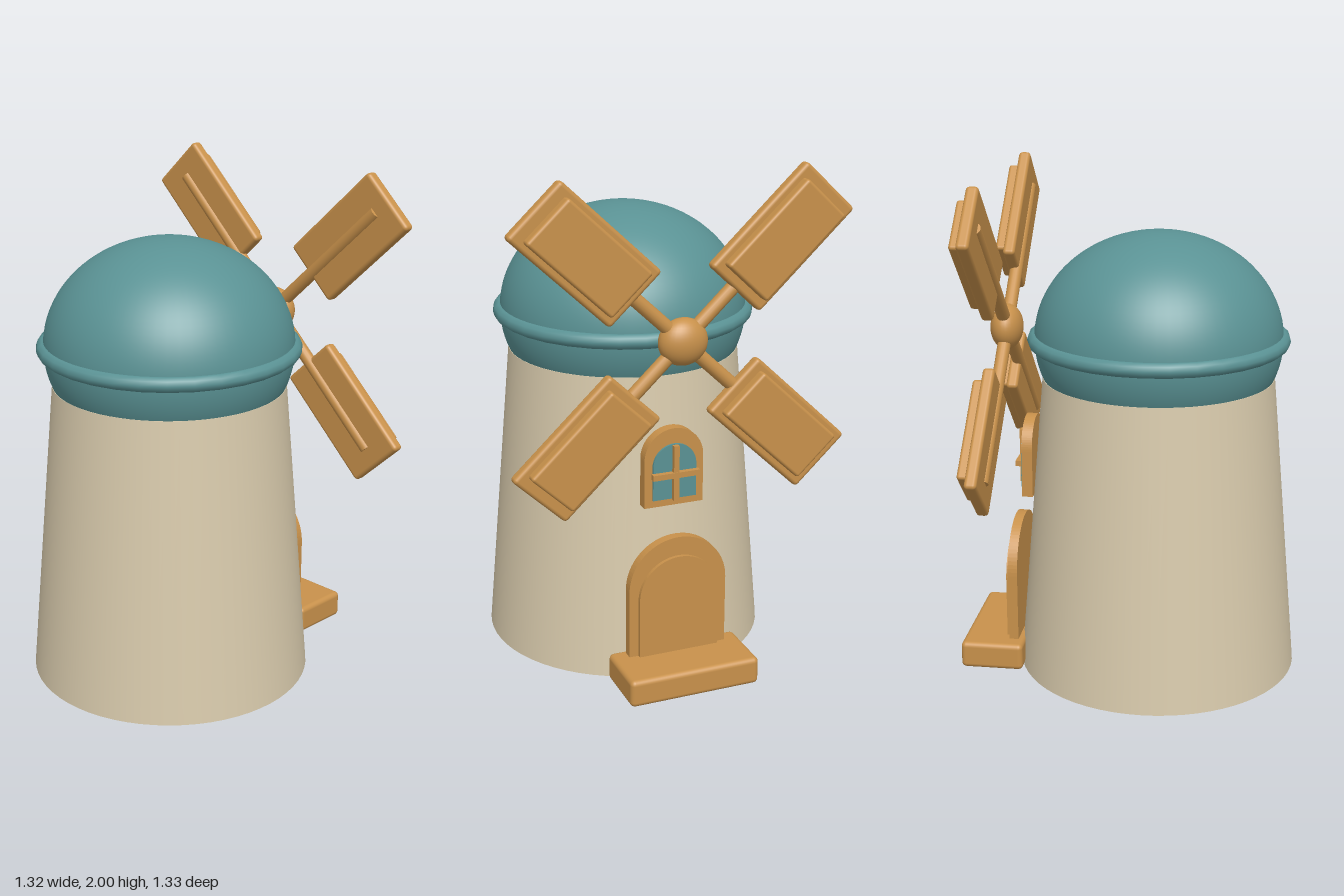
import * as THREE from 'three';
import { RoundedBoxGeometry } from 'three/addons/geometries/RoundedBoxGeometry.js';

const paint = (name, color) => {
  const m = new THREE.MeshStandardMaterial({ color });
  m.name = name;
  return m;
};

export function createModel() {
  const cream = paint('cream plaster', 0xd8caac);
  const teal = paint('teal', 0x5a9294);
  const wood = paint('wood', 0xc8914b);
  const model = new THREE.Group();
  model.name = 'windmill';

  const add = (parent, name, geometry, material, x = 0, y = 0, z = 0) => {
    const mesh = new THREE.Mesh(geometry, material);
    mesh.name = name;
    mesh.position.set(x, y, z);
    parent.add(mesh);
    return mesh;
  };

  // Round-topped plate standing between two heights and two depths
  const archPlate = (name, half, bottom, top, zBack, zFront, material) => {
    const s = new THREE.Shape();
    s.moveTo(-half, bottom);
    s.lineTo(half, bottom);
    s.lineTo(half, top - half);
    s.absarc(0, top - half, half, 0, Math.PI, false);
    s.closePath();
    const g = new THREE.ExtrudeGeometry(s, { depth: zFront - zBack, bevelEnabled: false, curveSegments: 20 });
    return add(model, name, g, material, 0, 0, zBack);
  };

  // Tower and domed cap
  const cz = 0.106;
  add(model, 'tower', new THREE.CylinderGeometry(0.457, 0.56, 1.2, 64), cream, 0, 0.6, cz);
  const dome = add(model, 'dome',
    new THREE.SphereGeometry(1, 64, 32, 0, Math.PI * 2, 0, Math.acos(-0.15 / 0.42)), teal, 0, 1.35, cz);
  dome.scale.set(0.487, 0.42, 0.487);
  const rim = add(model, 'domeRim', new THREE.TorusGeometry(0.485, 0.03, 10, 32), teal, 0, 1.35, cz);
  rim.rotation.x = Math.PI / 2;

  // Door and step on the back
  add(model, 'doorStep', new RoundedBoxGeometry(0.53, 0.11, 0.252, 3, 0.02), wood, 0, 0.06, -0.54);
  archPlate('doorFrame', 0.2, 0.1, 0.59, -0.478, -0.44, wood);
  archPlate('doorPanel', 0.163, 0.1, 0.515, -0.493, -0.47, wood);

  // Window with crossed bars
  archPlate('windowFrame', 0.12, 0.705, 1.015, -0.428, -0.385, wood);
  archPlate('windowGlass', 0.088, 0.735, 0.955, -0.437, -0.428, teal);
  add(model, 'windowBarVertical', new THREE.BoxGeometry(0.022, 0.22, 0.02), wood, 0, 0.842, -0.446);
  add(model, 'windowBarHorizontal', new THREE.BoxGeometry(0.19, 0.022, 0.022), wood, 0, 0.835, -0.447);

  // Sail wheel, slightly wider than tall
  const wheel = new THREE.Group();
  wheel.name = 'sailWheel';
  wheel.position.set(0, 1.375, -0.499);
  wheel.scale.x = 1.06;
  model.add(wheel);
  const hub = add(wheel, 'hub', new THREE.SphereGeometry(1, 32, 20), wood);
  hub.scale.set(0.09, 0.09, 0.064);
  for (let i = 0; i < 4; i++) {
    const sail = new THREE.Group();
    sail.name = 'sail' + (i + 1);
    sail.rotation.z = Math.PI / 4 + i * Math.PI / 2;
    wheel.add(sail);
    const spar = add(sail, 'spar', new THREE.CylinderGeometry(0.026, 0.026, 0.68, 16), wood, 0, 0.34, 0);
    spar.name = 'spar';
    add(sail, 'blade', new RoundedBoxGeometry(0.266, 0.5, 0.048, 3, 0.015), wood, 0, 0.507, -0.01);
    add(sail, 'bladePanel', new RoundedBoxGeometry(0.21, 0.414, 0.05, 3, 0.012), wood, 0, 0.502, -0.048);
  }
  return model;
}
